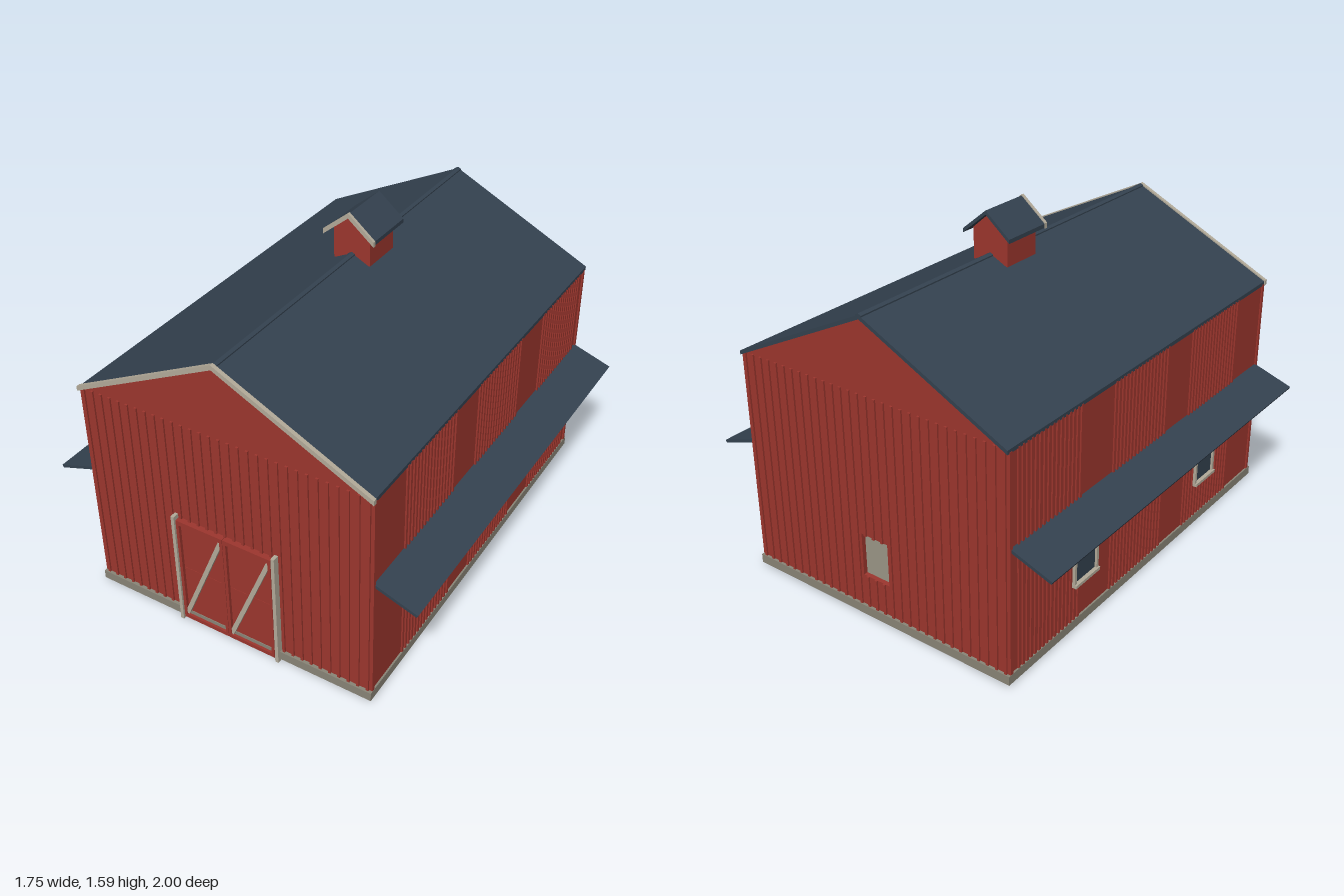
import * as THREE from 'three';

const mat = (name, color) => {
  const m = new THREE.MeshStandardMaterial({ color });
  m.name = name;
  return m;
};

export function createModel() {
  const red = mat('barn red', 0x9d362e);
  const slate = mat('slate blue', 0x344250);
  const trim = mat('pale trim', 0xb3ab9a);
  const stone = mat('stone grey', 0x8a8577);

  const barn = new THREE.Group();
  barn.name = 'barn';

  const add = (name, geo, material, parent = barn) => {
    const mesh = new THREE.Mesh(geo, material);
    mesh.name = name;
    parent.add(mesh);
    return mesh;
  };
  // box given by its limits on each axis
  const box = (name, material, [x0, x1], [y0, y1], [z0, z1], parent) => {
    const m = add(name, new THREE.BoxGeometry(x1 - x0, y1 - y0, z1 - z0), material, parent);
    m.position.set((x0 + x1) / 2, (y0 + y1) / 2, (z0 + z1) / 2);
    return m;
  };
  // outline in x and y, pushed along z
  const slab = (name, material, pts, [z0, z1], hole, parent) => {
    const shape = new THREE.Shape(pts.map(p => new THREE.Vector2(...p)));
    if (hole) shape.holes.push(new THREE.Path(hole.map(p => new THREE.Vector2(...p))));
    const geo = new THREE.ExtrudeGeometry(shape, { depth: z1 - z0, bevelEnabled: false });
    geo.translate(0, 0, z0);
    return add(name, geo, material, parent);
  };
  // inverted V used for roofs and their trim
  const chevron = (name, material, w, eave, peak, t, z, parent) =>
    slab(name, material, [[-w, eave - t], [0, peak - t], [w, eave - t], [w, eave], [0, peak], [-w, eave]], z, null, parent);

  // footing and floor
  box('floor', stone, [-0.68, 0.68], [0.015, 0.045], [-0.985, 0.97]);
  for (const s of [-1, 1]) box('footingSide', stone, s > 0 ? [0.67, 0.69] : [-0.69, -0.67], [0.01, 0.052], [-1, 0.985]);
  box('footingFront', stone, [-0.67, 0.67], [0.01, 0.052], [0.965, 0.985]);
  box('footingBack', stone, [-0.67, 0.67], [0.01, 0.052], [-1, -0.98]);

  // walls; the back one has a small opening
  const gable = [[-0.682, 0.02], [0.682, 0.02], [0.682, 1.045], [0, 1.38], [-0.682, 1.045]];
  slab('frontWall', red, gable, [0.95, 0.97]);
  slab('backWall', red, gable, [-0.988, -0.968], [[-0.07, 0.2], [-0.07, 0.4], [0.07, 0.4], [0.07, 0.2]]);
  for (const s of [-1, 1]) {
    box('sideWall', red, s > 0 ? [0.662, 0.682] : [-0.682, -0.662], [0.02, 1.04], [-0.968, 0.95]);
  }

  // battens on the end walls
  const battens = new THREE.Group();
  battens.name = 'battens';
  barn.add(battens);
  const frontZ = [0.97, 0.978], backZ = [-0.996, -0.988];
  for (let i = -15; i <= 15; i++) {
    const x = [i * 0.0445 - 0.006, i * 0.0445 + 0.006];
    box('frontBatten', red, x, [Math.abs(i) < 6 ? 0.56 : 0.052, 1.05], frontZ, battens);
    if (Math.abs(i) < 2) {
      box('backBatten', red, x, [0.052, 0.2], backZ, battens);
      box('backBatten', red, x, [0.4, 1.05], backZ, battens);
    } else box('backBatten', red, x, [0.052, 1.05], backZ, battens);
  }

  for (const s of [-1, 1]) {
    const span = (a, b) => (s > 0 ? [a, b] : [-b, -a]);
    // battens on the long walls, set in three groups
    for (const start of [0.72, 0.11, -0.53]) {
      for (let i = 0; i < 16; i++) {
        const z = start - i * 0.0267;
        box('sideBatten', red, span(0.682, 0.689), [0.052, 1.04], [z - 0.006, z + 0.006], battens);
      }
    }
    for (const z of [0.962, -0.98]) {
      box('cornerBoard', red, span(0.682, 0.689), [0.052, 1.04], [z - 0.008, z + 0.008], battens);
    }

    // windows
    for (const z of [0.482, -0.492]) {
      const win = new THREE.Group();
      win.name = 'window';
      barn.add(win);
      box('glass', slate, span(0.684, 0.692), [0.235, 0.465], [z - 0.075, z + 0.075], win);
      for (const e of [-1, 1]) {
        const c = z + e * 0.079, y = 0.35 + e * 0.118;
        box('windowJamb', trim, span(0.682, 0.702), [0.235, 0.465], [c - 0.007, c + 0.007], win);
        box('windowRail', trim, span(0.682, 0.71), [y - 0.007, y + 0.007], [z - 0.087, z + 0.087], win);
      }
    }

    // sloping awning
    const p = [[0.682, 0.614], [0.868, 0.55], [0.874, 0.562], [0.682, 0.629]].map(([x, y]) => [s * x, y]);
    slab('awning', slate, p, [-0.98, 0.96]);
  }

  // main roof
  chevron('roof', slate, 0.688, 1.052, 1.39, 0.018, [-1, 0.97]);
  chevron('ridgeCap', slate, 0.014, 1.389, 1.396, 0.012, [-1, 0.97]);
  chevron('gableTrim', trim, 0.692, 1.056, 1.397, 0.022, [0.967, 0.985]);

  // double front door
  const door = new THREE.Group();
  door.name = 'door';
  barn.add(door);
  for (const s of [-1, 1]) {
    const x = s * 0.117;
    box('doorPanelLower', red, [x - 0.115, x + 0.115], [0.02, 0.299], [0.97, 0.982], door);
    box('doorPanelUpper', red, [x - 0.115, x + 0.115], [0.301, 0.55], [0.97, 0.982], door);
    for (const e of [-1, 1]) {
      box('doorStile', red, [x + e * 0.109 - 0.007, x + e * 0.109 + 0.007], [0.015, 0.56], [0.97, 0.996], door);
    }
    box('doorRail', red, [x - 0.102, x + 0.102], [0.538, 0.56], [0.97, 0.996], door);
    box('doorSill', red, [x - 0.102, x + 0.102], [0.015, 0.034], [0.97, 0.996], door);
    const brace = add('doorBrace', new THREE.BoxGeometry(0.02, 0.53, 0.012), trim, door);
    brace.position.set(x, 0.286, 0.988);
    brace.rotation.z = -Math.atan2(0.205, 0.49);
    box('doorPost', trim, [s * 0.246 - 0.008, s * 0.246 + 0.008], [0, 0.575], [0.97, 1], door);
  }

  // cupola on the ridge
  const cupola = new THREE.Group();
  cupola.name = 'cupola';
  barn.add(cupola);
  slab('cupolaBody', red, [[-0.088, 1.35], [0.088, 1.35], [0.088, 1.49], [0, 1.567], [-0.088, 1.49]], [-0.21, -0.015], null, cupola);
  chevron('cupolaRoof', slate, 0.12, 1.485, 1.585, 0.018, [-0.24, 0.006], cupola);
  chevron('cupolaTrim', trim, 0.123, 1.488, 1.59, 0.024, [0.004, 0.018], cupola);

  return barn;
}
